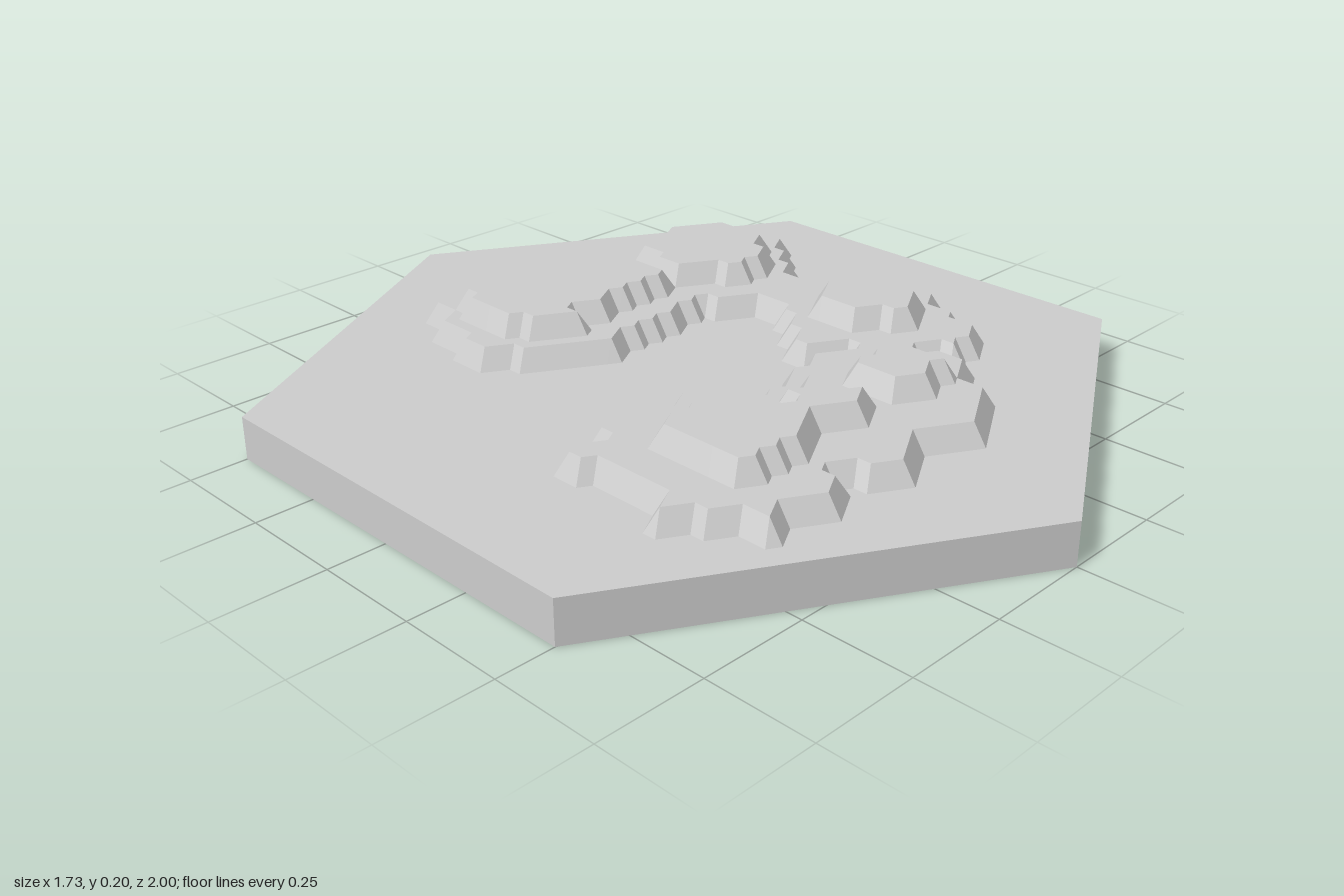
import * as THREE from 'three';

const N = 30;                         // lattice steps from centre to corner
const LEVELS = [0.1, 0.15, 0.2];      // ground, lower terrace, upper terrace
const NAMES = ['ground', 'lowerTerrace', 'upperTerrace'];

// Foot outlines of the terraces as x, z pairs in hundredths
const LOWER = [[
  -38, -35, -38, -41, -34, -43, -34, -54, -29, -55, -29, -61, -23, -68, -14, -69,
  -3, -73, 14, -74, 17, -68, 28, -69, 29, -63, 33, -55, 40, -57, 46, -54,
  52, -56, 63, -49, 63, -40, 66, -37, 66, -34, 57, -24, 54, -19, 48, -14,
  48, -6, 63, 3, 63, 20, 58, 23, 54, 37, 46, 42, 38, 42, 35, 35,
  37, 43, 37, 48, 29, 54, 29, 59, 12, 69, 0, 63, -14, 71, -17, 65,
  -23, 61, -31, 69, -39, 64, -47, 66, -49, 59, -55, 55, -55, 50, -60, 47,
  -60, 44, -54, 40, -54, 26, -58, 24, -58, 17, -46, 16, -46, 11, -40, 10,
  -26, 14, -20, 12, -12, 15, -12, 22, -6, 25, 14, 19, 22, 23, 15, 17,
  15, 12, 26, 2, 29, -3, 29, -9, 20, -15, 20, -18, -12, -15, -26, -22, -34, -30,
]];
const UPPER = [
  [-29, -37, -29, -47, -26, -55, -14, -57, 0, -61, 7, -58, 14, -60, 20, -54, 20, -28,
    8, -25, 0, -27, -6, -24, -12, -26, -14, -21, -26, -28],
  [21, -34, 23, -46, 40, -53, 54, -46, 54, -27, 39, -17, 29, -20, 27, -25, 21, -29],
  [29, 6, 40, 1, 53, 6, 53, 23, 37, 30, 34, 23, 29, 21],
  [-43, 29, -35, 23, -26, 26, -14, 31, -14, 46, -20, 50, -24, 53, -40, 53, -43, 50],
  [-17, 43, -14, 35, -8, 36, -3, 33, 0, 36, 0, 44, 3, 47, -6, 53, -14, 50, -17, 46],
  [6, 36, 12, 33, 14, 36, 20, 34, 26, 38, 26, 51, 17, 54, 9, 52, 6, 49],
];

// True when a point lies inside an outline and clear of its edge
function inside(outline, x, z, margin = 0.012) {
  let hit = false;
  const n = outline.length;
  for (let i = 0; i < n; i += 2) {
    const x1 = outline[i] / 100, z1 = outline[i + 1] / 100;
    const x2 = outline[(i + 2) % n] / 100, z2 = outline[(i + 3) % n] / 100;
    const dx = x2 - x1, dz = z2 - z1;
    const t = THREE.MathUtils.clamp(((x - x1) * dx + (z - z1) * dz) / (dx * dx + dz * dz), 0, 1);
    if (Math.hypot(x - x1 - t * dx, z - z1 - t * dz) < margin) return false;
    if ((z1 > z) !== (z2 > z) && x < x1 + ((z - z1) / dz) * dx) hit = !hit;
  }
  return hit;
}

// Terrace level and position of a lattice point
function latticePoint(a, b) {
  const x = (a * Math.sqrt(3)) / 2 / N, z = (b + a / 2) / N;
  const level = UPPER.some((o) => inside(o, x, z)) ? 2 : LOWER.some((o) => inside(o, x, z)) ? 1 : 0;
  return { level, p: [x, LEVELS[level], z] };
}

export function createModel() {
  const model = new THREE.Group();
  const material = new THREE.MeshStandardMaterial({ color: 0xcccccc, flatShading: true });
  const add = (name, geometry) => {
    const mesh = new THREE.Mesh(geometry, material);
    mesh.name = name;
    model.add(mesh);
    return mesh;
  };

  // Hexagonal slab: walls and underside
  add('slabWalls', new THREE.CylinderGeometry(1, 1, 0.1, 6, 1, true)).position.y = 0.05;
  add('slabUnderside', new THREE.CircleGeometry(1, 6, Math.PI / 2).rotateX(Math.PI / 2));

  // Triangular lattice over the hexagon
  const points = new Map();
  for (let a = -N; a <= N; a++) {
    for (let b = Math.max(-N, -N - a); b <= Math.min(N, N - a); b++) {
      points.set(`${a},${b}`, latticePoint(a, b));
    }
  }

  // Sort the triangles into ground and terraces by their highest corner
  const corners = [[], [], []];
  const addTriangle = (...keys) => {
    const tri = keys.map(([a, b]) => points.get(`${a},${b}`));
    if (tri.some((v) => !v)) return;
    corners[Math.max(...tri.map((v) => v.level))].push(...tri.flatMap((v) => v.p));
  };
  for (let a = -N - 1; a <= N; a++) {
    for (let b = -N - 1; b <= N; b++) {
      addTriangle([a, b], [a, b + 1], [a + 1, b]);
      addTriangle([a + 1, b], [a, b + 1], [a + 1, b + 1]);
    }
  }
  corners.forEach((list, i) => {
    const geometry = new THREE.BufferGeometry();
    geometry.setAttribute('position', new THREE.Float32BufferAttribute(list, 3));
    geometry.computeVertexNormals();
    add(NAMES[i], geometry);
  });
  return model;
}
